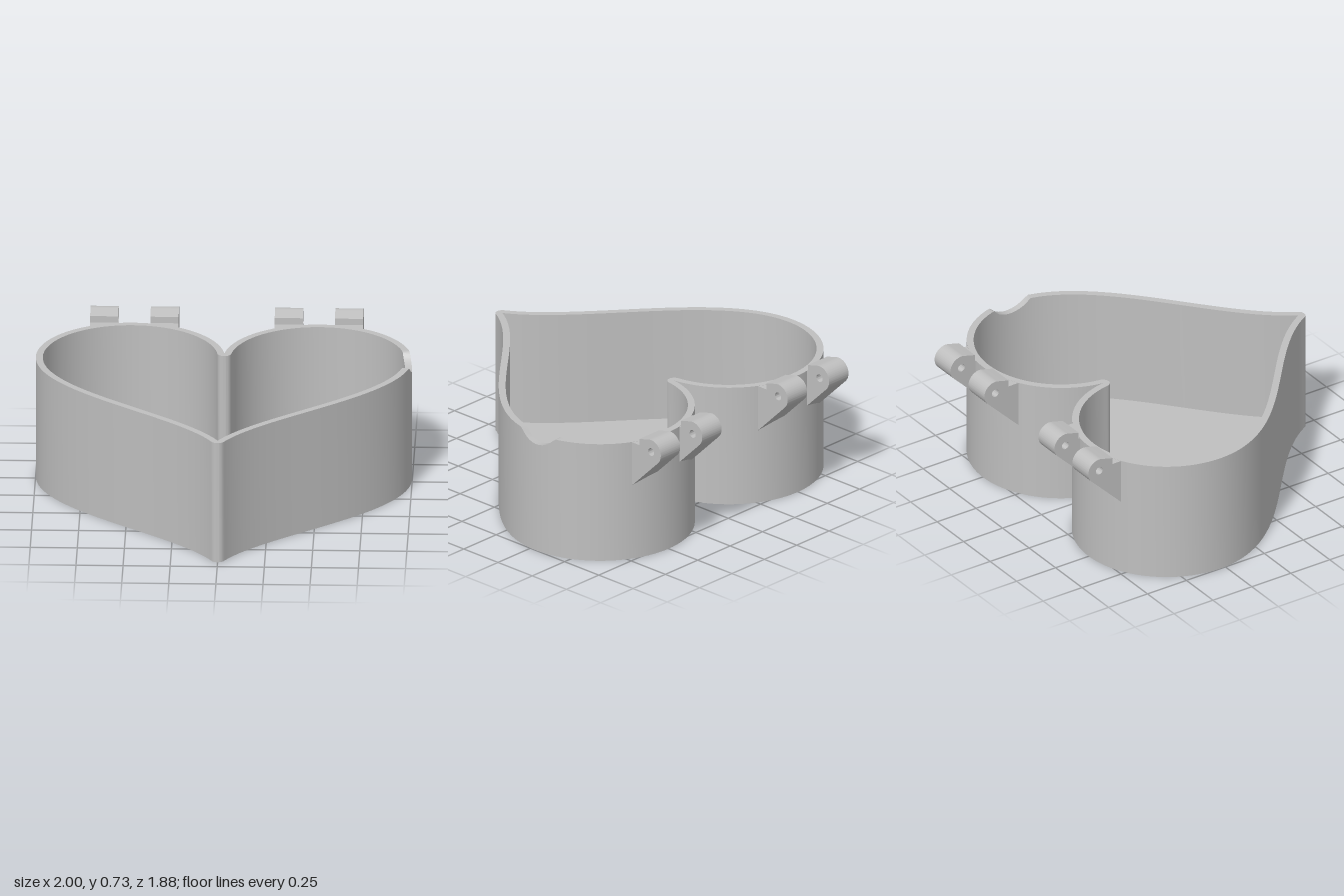
import * as THREE from 'three';
import { toCreasedNormals } from 'three/addons/utils/BufferGeometryUtils.js';

const H = 0.68;            // wall height
const W = 0.037;           // wall thickness
const FLOOR = 0.05;        // top of the floor
const LOBE = { x: 0.497, z: -0.285, r: 0.502 };
const NOTCH = { y: 0.765, z: -0.293, r: 0.145 };

// Heart outline as pairs of outer and inner points [x, z], going round once
function heartPairs() {
  const half = [];
  const add = (o, i) => half.push({ o, i });
  const start = Math.asin(0.071 / LOBE.r);
  const cleftZ = LOBE.z - 0.071;

  // rounded inner side of the cleft
  for (let k = 0; k < 8; k++) {
    const a = THREE.MathUtils.lerp(Math.PI / 2, start, k / 8);
    add([0, cleftZ], [W * Math.cos(a), cleftZ + W * Math.sin(a)]);
  }
  // round lobe
  const lobePoint = (a, r) => [LOBE.x - r * Math.cos(a), LOBE.z - r * Math.sin(a)];
  for (let k = 0; k < 90; k++) {
    const a = THREE.MathUtils.lerp(start, Math.PI, k / 90);
    add(lobePoint(a, LOBE.r), lobePoint(a, LOBE.r - W));
  }
  // sweep down to the tip
  const curve = new THREE.CubicBezierCurve(
    new THREE.Vector2(LOBE.x + LOBE.r - W, LOBE.z), new THREE.Vector2(0.962, 0.2),
    new THREE.Vector2(0.22, 0.5), new THREE.Vector2(0, 0.9));
  for (let k = 0; k <= 64; k++) {
    const p = curve.getPoint(k / 64), t = curve.getTangent(k / 64);
    add([p.x + W * t.y, p.y - W * t.x], [p.x, p.y]);
  }
  // rounded outer tip
  const end = curve.getTangent(1), a0 = Math.atan2(-end.x, end.y);
  for (let k = 1; k <= 6; k++) {
    const a = THREE.MathUtils.lerp(a0, Math.PI / 2, k / 6);
    add([W * Math.cos(a), 0.9 + W * Math.sin(a)], [0, 0.9]);
  }
  const mirrored = half.slice(1, -1).reverse()
    .map(({ o, i }) => ({ o: [-o[0], o[1]], i: [-i[0], i[1]] }));
  return [...half, ...mirrored];
}

// Rim height, dipping into the round finger notch on the left side
function rimY([x, z]) {
  const d = z - NOTCH.z;
  if (x < 0.8 || Math.abs(d) >= NOTCH.r) return H;
  return Math.min(H, NOTCH.y - Math.sqrt(NOTCH.r ** 2 - d * d));
}

function wallGeometry(pairs) {
  const pos = [];
  const quad = (a, b, c, d) => pos.push(...a, ...b, ...c, ...a, ...c, ...d);
  const at = (p, y) => [p[0], y, p[1]];
  pairs.forEach((p, k) => {
    const q = pairs[(k + 1) % pairs.length];
    const o0 = at(p.o, rimY(p.o)), o1 = at(q.o, rimY(q.o));
    const i0 = at(p.i, rimY(p.i)), i1 = at(q.i, rimY(q.i));
    quad(at(p.o, 0), o0, o1, at(q.o, 0));             // outside
    quad(at(q.i, FLOOR), i1, i0, at(p.i, FLOOR));     // inside
    quad(i0, i1, o1, o0);                             // rim
  });
  const geo = new THREE.BufferGeometry();
  geo.setAttribute('position', new THREE.Float32BufferAttribute(pos, 3));
  return toCreasedNormals(geo, 0.5);
}

// Flat heart plate, facing up or down
function plateGeometry(points, up) {
  const s = up ? -1 : 1;
  const pts = points
    .filter((p, k) => {
      const n = points[(k + 1) % points.length];
      return Math.hypot(p[0] - n[0], p[1] - n[1]) > 1e-5;
    })
    .map(p => new THREE.Vector2(p[0], s * p[1]));
  return new THREE.ShapeGeometry(new THREE.Shape(pts)).rotateX(s * Math.PI / 2);
}

// Hinge knuckle: bored eye on a slanted bracket whose root follows the wall
function knuckleGeometry(x0) {
  const cx = 0.873, cy = 0.665, r = 0.07;
  const shape = new THREE.Shape();
  shape.moveTo(0.72, H - 0.001);
  shape.lineTo(0.72, 0.415);
  shape.absarc(cx, cy, r, -Math.PI / 4, Math.PI * 0.56, false);
  shape.lineTo(0.787, 0.715);
  shape.lineTo(0.787, H - 0.001);
  shape.closePath();
  const hole = new THREE.Path();
  hole.absarc(cx, cy, 0.022, 0, Math.PI * 2, true);
  shape.holes.push(hole);
  const geo = new THREE.ExtrudeGeometry(shape, {
    depth: 0.15, steps: 8, curveSegments: 20, bevelEnabled: false });
  geo.rotateY(Math.PI / 2).translate(x0, 0, 0);
  const p = geo.attributes.position;
  for (let k = 0; k < p.count; k++) {
    if (p.getZ(k) < -0.73) continue;
    const dx = Math.abs(p.getX(k)) - LOBE.x;
    const z = LOBE.z - Math.sqrt((LOBE.r - W / 2) ** 2 - dx * dx);
    if (p.getY(k) < 0.5) p.setY(k, 0.415 - 0.72 - z);
    p.setZ(k, z);
  }
  return toCreasedNormals(geo, 0.5);
}

export function createModel() {
  const grey = new THREE.MeshStandardMaterial({ color: 0xbfbfbf });
  grey.name = 'light grey';
  const model = new THREE.Group();
  model.name = 'heartBox';
  const add = (name, geo) => {
    const mesh = new THREE.Mesh(geo, grey);
    mesh.name = name;
    model.add(mesh);
    return mesh;
  };

  const pairs = heartPairs();
  add('wall', wallGeometry(pairs));
  add('floor', plateGeometry(pairs.map(p => p.i), true)).position.y = FLOOR;
  add('underside', plateGeometry(pairs.map(p => p.o), false));

  // two hinge knuckles on the back of each lobe
  for (const x of [0.255, 0.575]) {
    add('leftHingeKnuckle', knuckleGeometry(x));
    add('rightHingeKnuckle', knuckleGeometry(-x - 0.15));
  }
  return model;
}
